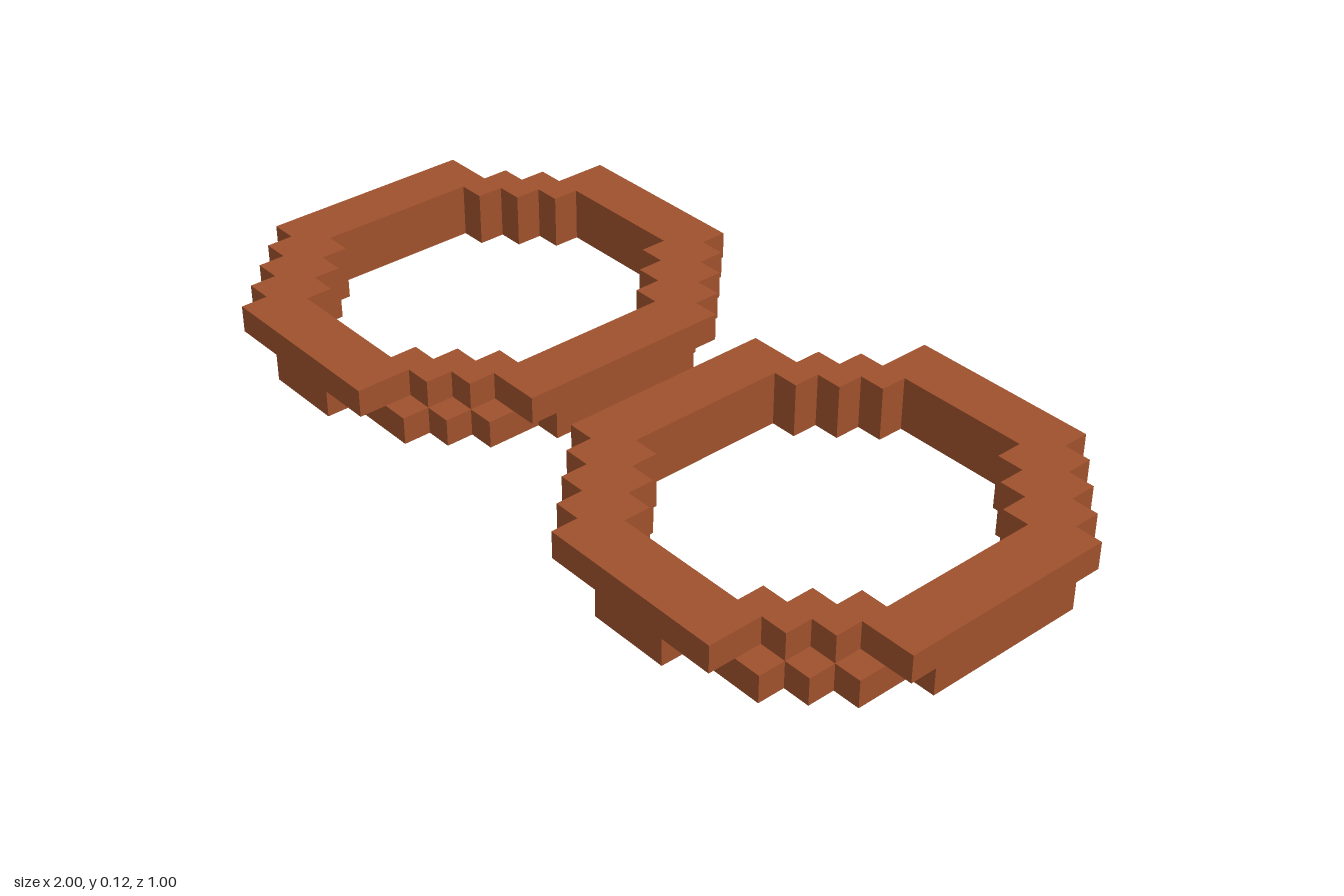
import * as THREE from 'three';

const U = 1 / 16; // size of one block

// Each row is [first, end] in blocks along x; rows run from back to front.
const mid = (n, a, b) => Array.from({ length: n }, () => [a, b]);
const upperRows = [
  [4, 11], [4, 12], [3, 13], [2, 14], ...mid(8, 0, 15),
  [1, 13], [2, 12], [3, 11], [4, 11],
];
const lowerRows = [
  [3, 11], [2, 12], [1, 13], [1, 14], ...mid(6, 0, 15),
  [1, 14], [2, 14], [3, 13], [4, 12], [6, 9],
];
const holeRows = [
  [5, 10], [4, 11], [3, 12], ...mid(6, 2, 13),
  [3, 12], [4, 11], [5, 10],
];

// Stepped outline around a stack of rows
function outline(rows, startRow) {
  const left = [], right = [];
  rows.forEach(([a, b], i) => {
    const z0 = startRow + i, z1 = z0 + 1;
    if (i === 0 || rows[i - 1][0] !== a) left.push([a, z0]);
    if (i === rows.length - 1 || rows[i + 1][0] !== a) left.push([a, z1]);
    if (i === 0 || rows[i - 1][1] !== b) right.push([b, z0]);
    if (i === rows.length - 1 || rows[i + 1][1] !== b) right.push([b, z1]);
  });
  return [...right, ...left.reverse()].map(([x, z]) => new THREE.Vector2(x * U, z * U - 0.5));
}

// One block-high stepped ring whose top is at topY
function ringLayer(rows, startRow, topY) {
  const shape = new THREE.Shape(outline(rows, startRow));
  shape.holes.push(new THREE.Path(outline(holeRows, 2)));
  const geo = new THREE.ExtrudeGeometry(shape, { depth: U, bevelEnabled: false });
  return geo.rotateX(Math.PI / 2).translate(0, topY, 0);
}

export function createModel() {
  const model = new THREE.Group();
  model.name = 'pairOfRings';
  const clay = new THREE.MeshStandardMaterial({ color: 0xa0522d });
  clay.name = 'reddish brown';

  const layers = [
    ['upperLayer', ringLayer(upperRows, 0, 2 * U)],
    ['lowerLayer', ringLayer(lowerRows, 1, U)],
  ];

  // Two identical rings side by side
  for (const [name, x] of [['rightRing', -1], ['leftRing', U]]) {
    const ring = new THREE.Group();
    ring.name = name;
    ring.position.x = x;
    for (const [layerName, geo] of layers) {
      const mesh = new THREE.Mesh(geo, clay);
      mesh.name = layerName;
      ring.add(mesh);
    }
    model.add(ring);
  }
  return model;
}
